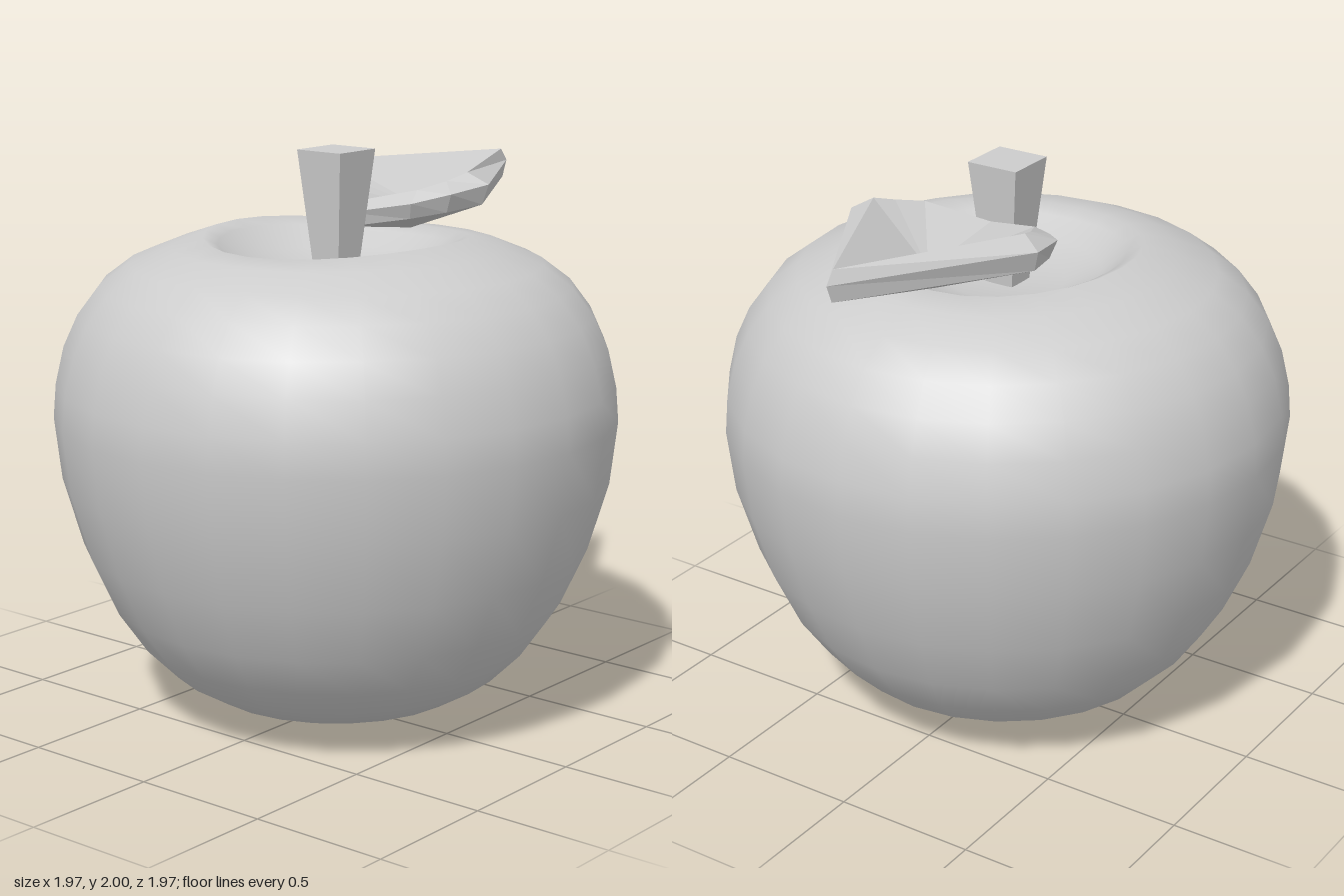
import * as THREE from 'three';
import { mergeVertices } from 'three/addons/utils/BufferGeometryUtils.js';

const gray = new THREE.MeshStandardMaterial({ color: 0xcccccc });
gray.name = 'plain gray';

function addPart(group, name, geometry) {
  const mesh = new THREE.Mesh(geometry, gray);
  mesh.name = name;
  group.add(mesh);
}

function faceted(geometry) {
  const flat = geometry.index ? geometry.toNonIndexed() : geometry;
  flat.computeVertexNormals();
  return flat;
}

// Fruit body: turned profile with a dimple, its rim raised on the left and right
function bodyGeometry() {
  const profile = [
    [0, 0], [0.17, 0.006], [0.32, 0.04], [0.46, 0.088], [0.59, 0.165], [0.7, 0.275], [0.8, 0.42],
    [0.89, 0.62], [0.96, 0.86], [0.985, 1.08], [0.975, 1.2], [0.945, 1.33], [0.895, 1.44],
    [0.82, 1.54], [0.72, 1.615], [0.58, 1.672], [0.46, 1.685], [0.41, 1.66], [0.32, 1.61],
    [0.2, 1.575], [0, 1.565],
  ].map(([r, y]) => new THREE.Vector2(r, y));
  let geometry = new THREE.LatheGeometry(profile, 24);
  const p = geometry.attributes.position;
  for (let i = 0; i < p.count; i++) {
    const r = Math.hypot(p.getX(i), p.getZ(i));
    if (p.getY(i) < 1.64 || r < 0.38 || r > 0.55) continue;
    p.setY(i, p.getY(i) + 0.03 * (p.getX(i) / r) ** 2);
  }
  geometry.deleteAttribute('normal');
  geometry.deleteAttribute('uv');
  geometry = mergeVertices(geometry, 1e-4);
  geometry.computeVertexNormals();
  return geometry;
}

// Leaf: nested outlines from the keel, up the thick rim and into the hollow
function leafGeometry() {
  // Half outlines (x, y, z), from the tip round the left side to the stem end
  const halfRings = [
    [[0.012, 1.81, -0.96], [0.35, 1.8, -0.37], [0.31, 1.785, -0.22], [0.22, 1.765, -0.13], [0, 1.725, -0.07]],
    [[0.015, 1.87, -0.98], [0.37, 1.87, -0.38], [0.335, 1.85, -0.21], [0.24, 1.82, -0.11], [0, 1.775, -0.055]],
    [[0.015, 1.915, -0.945], [0.3, 1.91, -0.35], [0.27, 1.885, -0.27], [0.22, 1.86, -0.17], [0, 1.81, -0.1]],
  ];
  const rings = halfRings.map((half) => {
    const mirrored = half.slice(1, -1).reverse().map(([x, y, z]) => [-x, y, z]);
    return [...half, ...mirrored];
  });
  const keel = [0, 1.68, -0.42];
  const hollow = [0.01, 1.755, -0.45];
  const n = rings[0].length;
  const corners = [];
  const triangle = (a, b, c) => corners.push(...a, ...c, ...b);
  for (let i = 0; i < n; i++) {
    const j = (i + 1) % n;
    triangle(keel, rings[0][j], rings[0][i]);
    for (let k = 0; k < rings.length - 1; k++) {
      triangle(rings[k][i], rings[k][j], rings[k + 1][j]);
      triangle(rings[k][i], rings[k + 1][j], rings[k + 1][i]);
    }
    triangle(rings[2][i], rings[2][j], hollow);
  }
  const geometry = new THREE.BufferGeometry();
  geometry.setAttribute('position', new THREE.Float32BufferAttribute(corners, 3));
  // Make the winding face outwards: signed volume must be positive
  let volume = 0;
  const v = [0, 1, 2].map(() => new THREE.Vector3());
  const p = geometry.attributes.position;
  for (let i = 0; i < p.count; i += 3) {
    v.forEach((w, k) => w.fromBufferAttribute(p, i + k));
    volume += v[0].dot(v[1].clone().cross(v[2]));
  }
  if (volume < 0) {
    geometry.setIndex(Array.from({ length: p.count }, (_, i) => p.count - 1 - i));
  }
  return faceted(geometry);
}

export function createModel() {
  const group = new THREE.Group();
  group.name = 'fruit';

  addPart(group, 'body', bodyGeometry());

  // Square stem, wider at the top
  const stem = new THREE.CylinderGeometry(0.095 * Math.SQRT2, 0.052 * Math.SQRT2, 0.45, 4, 1, false, Math.PI / 4);
  stem.translate(0, 1.775, 0);
  addPart(group, 'stem', faceted(stem));

  addPart(group, 'leaf', leafGeometry());
  return group;
}
